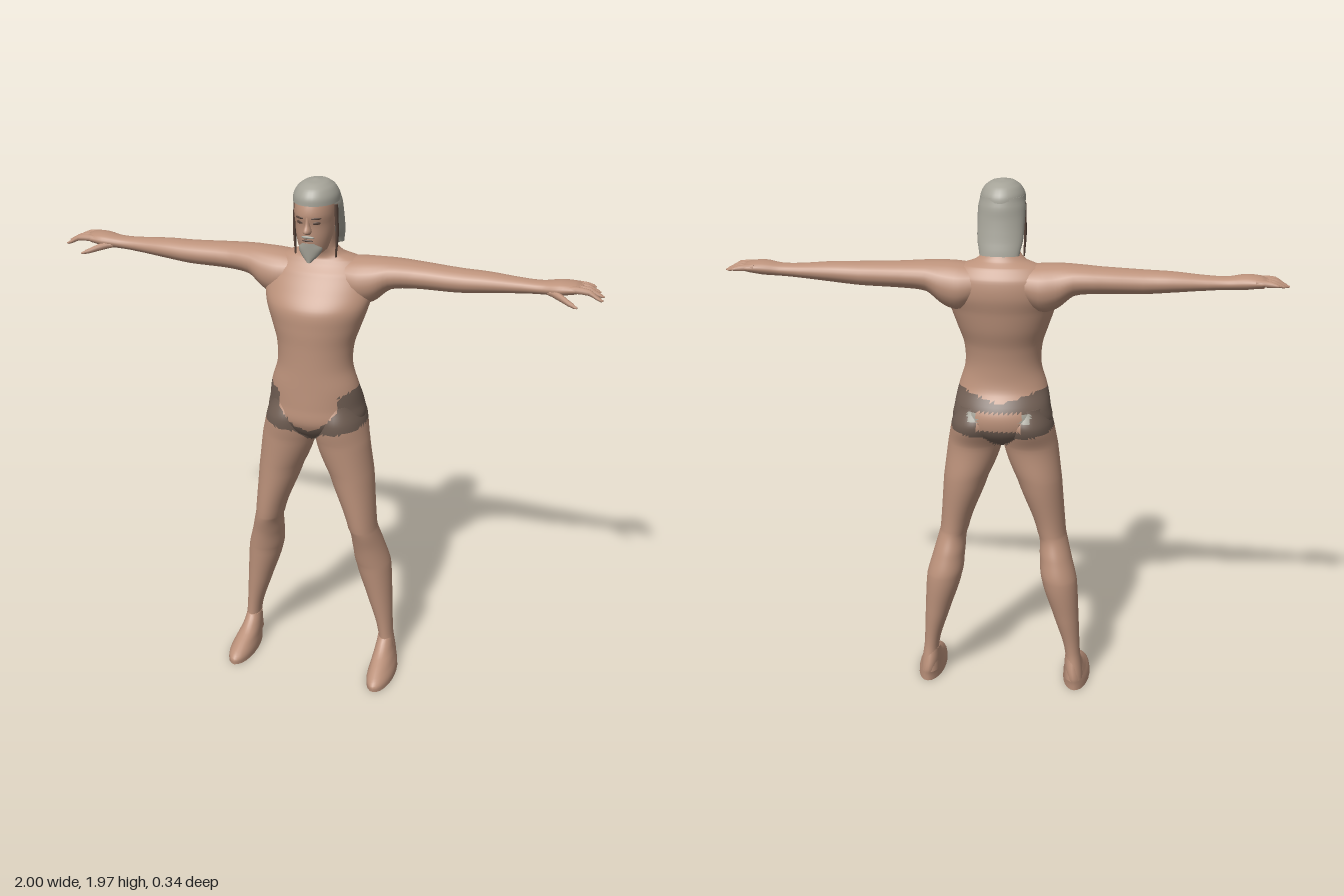
import * as THREE from 'three';

const mat = (name, color) => {
  const m = new THREE.MeshStandardMaterial({ color });
  m.name = name;
  return m;
};

// Catmull-Rom interpolation of one number
const spline = (a, b, c, d, t) =>
  0.5 * (2 * b + (c - a) * t + (2 * a - 5 * b + 4 * c - d) * t * t + (3 * b - a - 3 * c + d) * t * t * t);

// Piecewise linear lookup in [x, y] pairs
function lookup(pairs, x) {
  for (let i = 1; i < pairs.length; i++) {
    const [x0, y0] = pairs[i - 1], [x1, y1] = pairs[i];
    if (x <= x1) return y0 + (y1 - y0) * (x - x0) / (x1 - x0);
  }
  return pairs[pairs.length - 1][1];
}

// Smooth skin over ellipses [t, a, halfA, b, halfB], t ascending.
// axis 'y': t = y, a = x, b = z.  axis 'x': t = x, a = y, b = z.
function loft(sections, { axis = 'y', side = 1, n = 24, steps = 4, paint = null } = {}) {
  const rows = [];
  const at = (i) => sections[Math.max(0, Math.min(sections.length - 1, i))];
  for (let i = 0; i < sections.length - 1; i++)
    for (let s = 0; s < steps; s++)
      rows.push(at(i).map((v, k) => k === 0
        ? v + (at(i + 1)[0] - v) * s / steps
        : spline(at(i - 1)[k], v, at(i + 1)[k], at(i + 2)[k], s / steps)));
  rows.push(at(sections.length - 1));
  const pos = [], buckets = [[], [], []];
  const flip = (axis === 'x') !== (side < 0);
  const put = (t, a, b) => {
    if (axis === 'y') pos.push(a * side, t, b);
    else pos.push(t * side, a, b);
    return pos.length / 3 - 1;
  };
  const ring = ([t, a, ha, b, hb]) => {
    const start = pos.length / 3;
    for (let j = 0; j < n; j++) {
      const q = j / n * Math.PI * 2;
      put(t, a + ha * Math.cos(q), b + hb * Math.sin(q));
    }
    return start;
  };
  const tri = (a, b, c) => {
    const mid = [0, 1, 2].map((k) => (pos[a * 3 + k] + pos[b * 3 + k] + pos[c * 3 + k]) / 3);
    buckets[paint ? paint(...mid) : 0].push(...(flip ? [a, c, b] : [a, b, c]));
  };
  const starts = rows.map(ring);
  for (let i = 0; i < rows.length - 1; i++)
    for (let j = 0; j < n; j++) {
      const k = (j + 1) % n, p = starts[i], q = starts[i + 1];
      tri(p + j, q + j, p + k);
      tri(p + k, q + j, q + k);
    }
  // end caps
  [rows[0], rows[rows.length - 1]].forEach((r, e) => {
    const s = ring(r), c = put(r[0], r[1], r[3]);
    for (let j = 0; j < n; j++) {
      const k = (j + 1) % n;
      if (e) tri(c, s + k, s + j); else tri(c, s + j, s + k);
    }
  });
  const g = new THREE.BufferGeometry();
  g.setAttribute('position', new THREE.Float32BufferAttribute(pos, 3));
  g.setIndex(buckets.flat());
  let from = 0;
  if (paint) buckets.forEach((b, i) => { g.addGroup(from, b.length, i); from += b.length; });
  g.computeVertexNormals();
  return g;
}

// Which colour the hips take: 0 skin, 1 briefs, 2 grey patch
function hipPaint(x, y, z) {
  const ax = Math.abs(x), front = z > 0;
  const top = front
    ? lookup([[0, 1.06], [0.05, 1.08], [0.08, 1.11], [0.11, 1.14], [0.112, 1.2], [0.17, 1.225]], ax)
    : lookup([[0, 1.185], [0.1, 1.21], [0.17, 1.225]], ax);
  const bottom = lookup([[0, 0.98], [0.05, 1.05], [0.2, 1.075]], ax);
  if (y > top || y < bottom) return 0;
  if (z < -0.06 && y > 1.085 && y < 1.155) {
    if (ax < 0.08) return 0;
    if (ax < 0.115 && y > 1.115 && y < 1.15) return 2;
  }
  return 1;
}

export function createModel() {
  const skin = mat('skin', 0xbc927b), cloth = mat('briefs', 0x715f54);
  const hair = mat('greyHair', 0xa5a398), dark = mat('darkBrown', 0x5a463c);
  const body = [skin, cloth, hair];
  const root = new THREE.Group();
  root.name = 'standingMan';
  const add = (name, geometry, material, parent = root) => {
    const m = new THREE.Mesh(geometry, material);
    m.name = name;
    parent.add(m);
    return m;
  };

  // Torso and neck
  add('torso', loft([
    [1.0, 0, 0.03, -0.01, 0.05], [1.04, 0, 0.13, -0.02, 0.11], [1.09, 0, 0.182, -0.021, 0.138],
    [1.15, 0, 0.177, -0.02, 0.137], [1.22, 0, 0.163, 0, 0.115], [1.3, 0, 0.14, 0.003, 0.11],
    [1.38, 0, 0.143, -0.002, 0.115], [1.45, 0, 0.165, -0.012, 0.127], [1.52, 0, 0.188, -0.022, 0.132],
    [1.58, 0, 0.2, -0.048, 0.12], [1.64, 0, 0.19, -0.066, 0.098], [1.68, 0, 0.15, -0.07, 0.07],
    [1.7, 0, 0.09, -0.06, 0.056], [1.73, 0, 0.062, -0.045, 0.055], [1.8, 0, 0.058, -0.03, 0.055],
  ], { n: 64, steps: 6, paint: hipPaint }), body);

  for (const side of [1, -1]) {
    const label = side > 0 ? 'left' : 'right';

    // Leg
    add(label + 'Leg', loft([
      [0.04, 0.285, 0.036, -0.055, 0.05], [0.15, 0.278, 0.029, -0.05, 0.041], [0.3, 0.252, 0.047, -0.053, 0.058],
      [0.46, 0.222, 0.067, -0.052, 0.077], [0.55, 0.205, 0.06, -0.033, 0.077], [0.64, 0.187, 0.054, -0.008, 0.078],
      [0.86, 0.139, 0.084, -0.015, 0.1], [1.0, 0.104, 0.101, -0.01, 0.11], [1.09, 0.094, 0.093, -0.022, 0.134],
      [1.16, 0.09, 0.075, -0.02, 0.11],
    ], { side, n: 48, steps: 8, paint: hipPaint }), body);

    // Foot
    add(label + 'Foot', loft([
      [0, 0.29, 0.052, 0.034, 0.136], [0.025, 0.289, 0.05, 0.032, 0.136], [0.05, 0.286, 0.043, 0.01, 0.118],
      [0.085, 0.281, 0.035, -0.027, 0.075], [0.13, 0.279, 0.029, -0.048, 0.042],
    ], { side }), skin);

    // Arm with palm
    const arm = new THREE.Group();
    arm.name = label + 'Arm';
    root.add(arm);
    add('armAndPalm', loft([
      [0.06, 1.62, 0.06, -0.07, 0.08], [0.14, 1.605, 0.085, -0.07, 0.094], [0.2, 1.613, 0.08, -0.07, 0.088],
      [0.26, 1.637, 0.055, -0.075, 0.075], [0.35, 1.64, 0.047, -0.08, 0.064], [0.5, 1.638, 0.042, -0.076, 0.055],
      [0.6, 1.641, 0.036, -0.078, 0.049], [0.72, 1.642, 0.026, -0.08, 0.037], [0.79, 1.644, 0.023, -0.08, 0.036],
      [0.85, 1.65, 0.026, -0.08, 0.047], [0.9, 1.653, 0.02, -0.086, 0.048], [0.925, 1.652, 0.012, -0.088, 0.044],
    ], { axis: 'x', side }), skin, arm);

    // Fingers [tipX, tipY, rootZ, tipZ]
    [[1.0, 1.63, -0.053, -0.045], [1.0, 1.635, -0.075, -0.072], [0.985, 1.64, -0.1, -0.1],
      [0.965, 1.648, -0.118, -0.127]].forEach(([x, y, z0, z1]) =>
      add('finger', loft([
        [0.88, 1.655, 0.013, z0, 0.014], [(0.88 + x) / 2 + 0.01, 1.653, 0.011, (z0 + z1) / 2, 0.012],
        [x - 0.01, y + 0.002, 0.006, z1, 0.009], [x, y, 0.002, z1, 0.003],
      ], { axis: 'x', side, n: 10, steps: 3 }), skin, arm));
    add('thumb', loft([
      [0.81, 1.64, 0.014, -0.06, 0.018], [0.86, 1.63, 0.013, -0.03, 0.015],
      [0.905, 1.615, 0.008, -0.007, 0.01], [0.92, 1.611, 0.003, -0.001, 0.004],
    ], { axis: 'x', side, n: 10, steps: 3 }), skin, arm);
  }

  // Head
  const head = new THREE.Group();
  head.name = 'head';
  root.add(head);
  add('face', loft([
    [1.715, 0, 0.025, 0.035, 0.03], [1.735, 0, 0.048, 0.022, 0.056], [1.78, 0, 0.062, 0.01, 0.077],
    [1.83, 0, 0.068, 0.002, 0.087], [1.87, 0, 0.071, 0, 0.097], [1.92, 0, 0.066, -0.006, 0.088],
    [1.945, 0, 0.045, -0.008, 0.06],
  ], { n: 32 }), skin, head);
  add('nose', loft([
    [1.802, 0, 0.009, 0.085, 0.01], [1.812, 0, 0.015, 0.09, 0.024],
    [1.835, 0, 0.009, 0.087, 0.016], [1.865, 0, 0.007, 0.085, 0.012],
  ], { n: 12 }), skin, head);

  // Eyes, brows and mouth as thin shapes
  const spot = (name, x, y, z, sx, sy, turn = 0, material = dark) => {
    const m = add(name, new THREE.SphereGeometry(1, 14, 8), material, head);
    m.position.set(x, y, z);
    m.scale.set(sx, sy, 0.004);
    m.rotation.y = turn;
  };
  for (const s of [1, -1]) {
    spot('eye', s * 0.03, 1.842, 0.081, 0.014, 0.006, s * 0.5);
    spot('eyebrow', s * 0.03, 1.859, 0.086, 0.018, 0.004, s * 0.5);
    // Loose strand beside the face
    add('hairStrand', loft([
      [1.7, 0.074, 0.003, 0.0, 0.005], [1.78, 0.078, 0.005, -0.002, 0.01], [1.89, 0.074, 0.006, 0.0, 0.012],
    ], { side: s, n: 10 }), dark, head);
  }
  spot('mouth', 0, 1.779, 0.088, 0.02, 0.004);

  // Beard and moustache
  add('beard', loft([
    [1.697, 0, 0.008, 0.074, 0.008], [1.72, 0, 0.03, 0.062, 0.022], [1.745, 0, 0.043, 0.053, 0.033],
    [1.768, 0, 0.035, 0.052, 0.036],
  ], { n: 20 }), hair, head);
  spot('moustache', 0, 1.791, 0.088, 0.024, 0.005, 0, hair);

  // Hair: crown and long back
  add('hairCrown', loft([
    [1.9, 0, 0.08, -0.012, 0.102], [1.925, 0, 0.077, -0.011, 0.098], [1.95, 0, 0.063, -0.01, 0.08],
    [1.966, 0, 0.04, -0.01, 0.052], [1.973, 0, 0.005, -0.01, 0.006],
  ], { n: 32 }), hair, head);
  add('hairBack', loft([
    [1.725, 0, 0.07, -0.112, 0.03], [1.775, 0, 0.08, -0.09, 0.042], [1.84, 0, 0.083, -0.062, 0.06],
    [1.885, 0, 0.083, -0.04, 0.078], [1.92, 0, 0.076, -0.03, 0.08],
  ], { n: 32 }), hair, head);

  return root;
}
